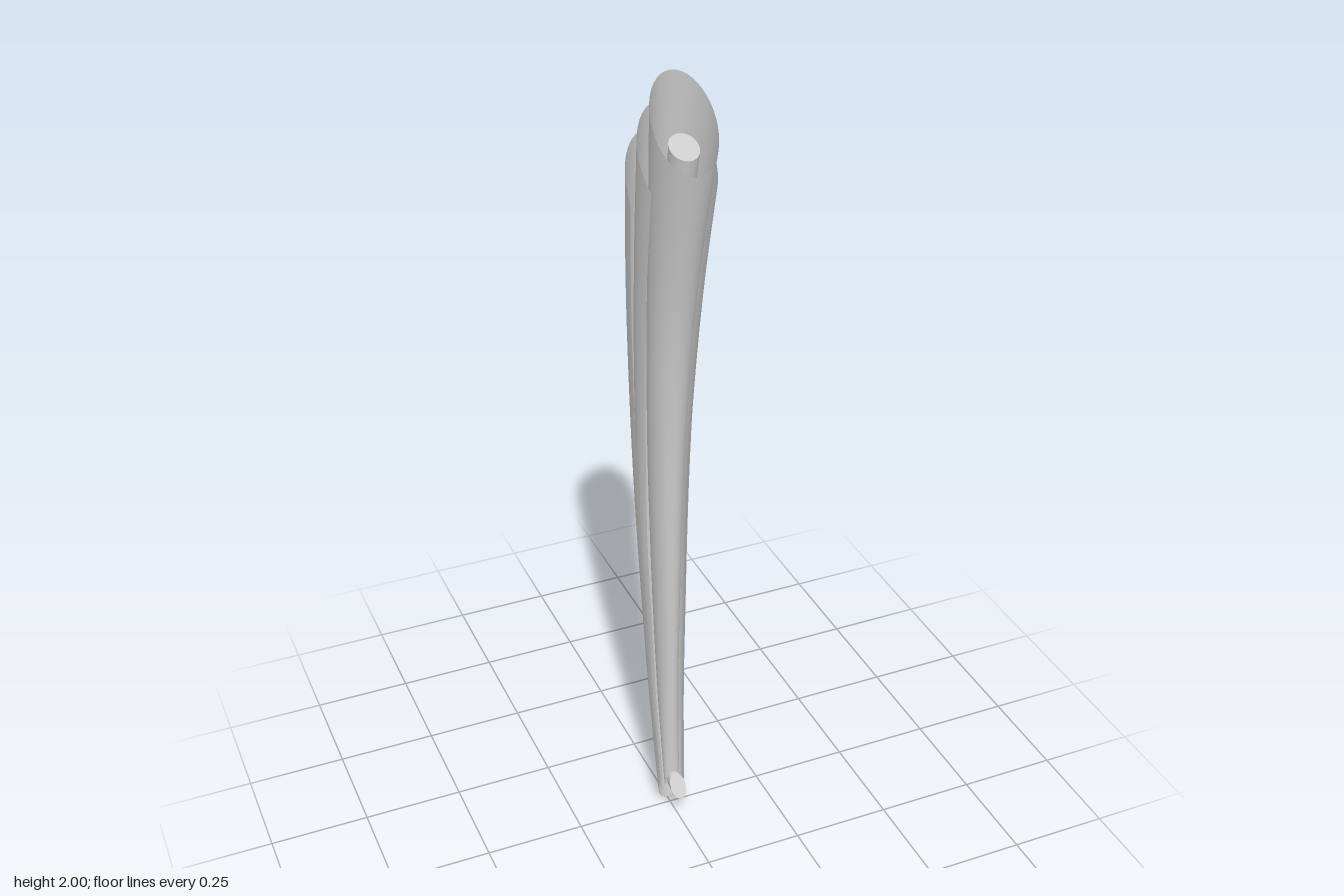
import * as THREE from 'three';
import { mergeVertices } from 'three/addons/utils/BufferGeometryUtils.js';

const material = new THREE.MeshStandardMaterial({ color: 0xcccccc, side: THREE.DoubleSide });

// Lofts an arc from its back line round to its edge line.
// rows, bottom to top: [edge z, edge y, back z, back y, half width]
// arc: half angle of the section in radians (PI gives a closed tube)
function loft(name, rows, arc, steps = 56, sides = 40) {
  const edge = new THREE.CatmullRomCurve3(rows.map(r => new THREE.Vector3(r[4], r[1], r[0])));
  const back = new THREE.CatmullRomCurve3(rows.map(r => new THREE.Vector3(0, r[3], r[2])));
  const positions = [], index = [];
  for (let i = 0; i <= steps; i++) {
    const e = edge.getPoint(i / steps), b = back.getPoint(i / steps);
    for (let j = 0; j <= sides; j++) {
      const a = arc * (2 * j / sides - 1);
      const k = (1 - Math.cos(a)) / (1 - Math.cos(arc));
      positions.push(e.x * Math.sin(a), b.y + (e.y - b.y) * k, b.z + (e.z - b.z) * k);
      if (i < steps && j < sides) {
        const p = i * (sides + 1) + j, q = p + sides + 1;
        index.push(p, q, p + 1, p + 1, q, q + 1);
      }
    }
  }
  let geometry = new THREE.BufferGeometry();
  geometry.setAttribute('position', new THREE.Float32BufferAttribute(positions, 3));
  geometry.setIndex(index);
  geometry = mergeVertices(geometry, 1e-5);
  geometry.computeVertexNormals();
  const mesh = new THREE.Mesh(geometry, material);
  mesh.name = name;
  return mesh;
}

// Flat lid closing a tube at one of its end rows
function lid(name, row, top) {
  const z = (row[0] + row[2]) / 2, y = (row[1] + row[3]) / 2;
  const centre = [z, y, z, y, 0];
  return loft(name, top ? [row, centre] : [centre, row], Math.PI, 1);
}

export function createModel() {
  const model = new THREE.Group();
  model.name = 'layeredHorn';

  // Flared front tube, cut obliquely at the mouth
  model.add(loft('frontTube', [
    [0.025, 0.10, 0.00, 0.06, 0.020],
    [0.020, 0.30, -0.04, 0.30, 0.024],
    [0.022, 0.60, -0.07, 0.60, 0.030],
    [0.030, 1.00, -0.08, 1.00, 0.040],
    [0.042, 1.20, -0.072, 1.25, 0.046],
    [0.062, 1.40, -0.055, 1.48, 0.052],
    [0.098, 1.60, -0.03, 1.72, 0.060],
    [0.150, 1.82, 0.00, 2.00, 0.072],
  ], Math.PI));

  // Middle sheath wraps a little over half way round
  model.add(loft('middleSheath', [
    [0.018, 0.10, -0.010, 0.03, 0.031],
    [0.000, 0.34, -0.055, 0.30, 0.041],
    [-0.010, 0.60, -0.090, 0.60, 0.050],
    [-0.018, 0.87, -0.112, 0.87, 0.058],
    [-0.008, 1.13, -0.115, 1.10, 0.064],
    [0.008, 1.32, -0.108, 1.32, 0.070],
    [0.035, 1.53, -0.085, 1.62, 0.077],
    [0.080, 1.77, -0.050, 1.92, 0.085],
  ], 2.02));

  // Outer sheath is a half shell along the back
  model.add(loft('outerSheath', [
    [0.012, 0.08, -0.020, 0.00, 0.035],
    [-0.014, 0.34, -0.072, 0.30, 0.044],
    [-0.028, 0.62, -0.110, 0.60, 0.054],
    [-0.038, 0.94, -0.137, 0.92, 0.065],
    [-0.035, 1.22, -0.147, 1.24, 0.075],
    [-0.020, 1.47, -0.140, 1.55, 0.085],
    [0.005, 1.715, -0.120, 1.83, 0.093],
  ], Math.PI / 2));

  // Inner core shows in the mouth and curls out at the foot
  const core = [
    [0.030, 0.120, 0.075, 0.070, 0.020],
    [0.012, 0.125, 0.018, 0.075, 0.017],
    [0.010, 0.20, -0.012, 0.17, 0.013],
    [-0.005, 0.50, -0.035, 0.50, 0.015],
    [0.000, 1.00, -0.036, 1.00, 0.018],
    [0.028, 1.40, -0.016, 1.41, 0.022],
    [0.070, 1.65, 0.014, 1.67, 0.027],
    [0.110, 1.84, 0.040, 1.875, 0.033],
  ];
  model.add(loft('innerCore', core, Math.PI, 80, 28));
  model.add(lid('coreTop', core[core.length - 1], true));
  model.add(lid('coreFoot', core[0], false));
  return model;
}
